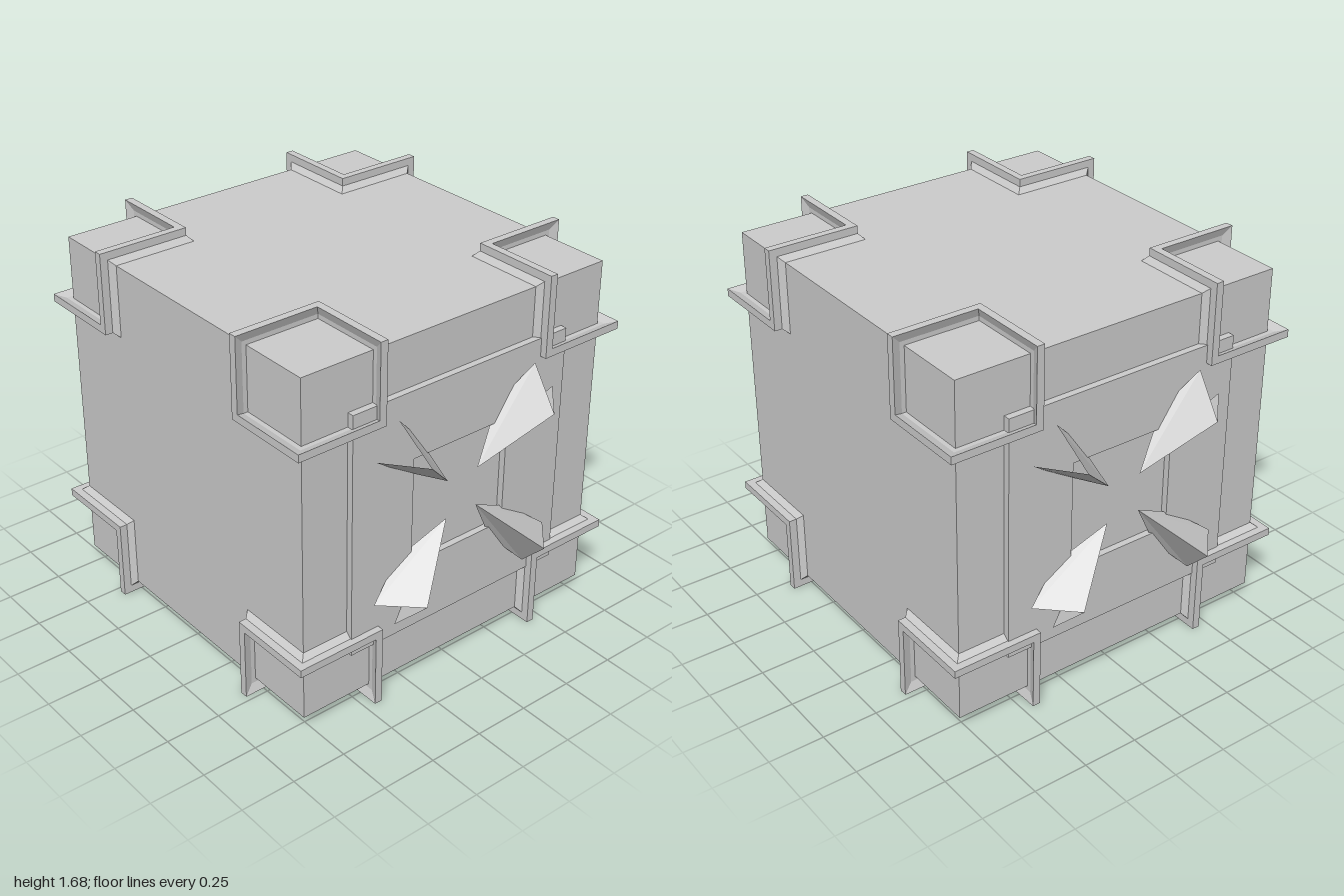
import * as THREE from 'three';

const material = new THREE.MeshStandardMaterial({ color: 0xcccccc, flatShading: true });
const thinMaterial = new THREE.MeshStandardMaterial({ color: 0xcccccc, flatShading: true, side: THREE.DoubleSide });
const HALF = [0.78, 0.78, 0.785]; // half size of the cube body

// Faceted geometry, mirrored by signs; winding flips for odd mirrors
function facets(points, triangles, signs) {
  const flip = signs[0] * signs[1] * signs[2] < 0;
  const data = [];
  for (const [a, b, c] of triangles) {
    for (const i of flip ? [a, c, b] : [a, b, c]) {
      data.push(...points[i].map((v, k) => v * signs[k]));
    }
  }
  const geometry = new THREE.BufferGeometry();
  geometry.setAttribute('position', new THREE.Float32BufferAttribute(data, 3));
  geometry.computeVertexNormals();
  return geometry;
}

// Flared rim running round one corner of the cube as a six-sided loop
function bracketGeometry(signs) {
  // [distance from the cube centre, height above the face]
  const profile = [[0.398, 0], [0.42, 0.025], [0.42, 0.06], [0.455, 0.06], [0.44, 0.02], [0.44, -0.01]];
  const shift = [0, 0.055, 0.02];
  // 1 = at the outer surface on that axis, 0 = at the inner distance
  const path = [[0, 0, 1], [1, 0, 1], [1, 0, 0], [1, 1, 0], [0, 1, 0], [0, 1, 1]];
  const points = [];
  const triangles = [];
  const n = profile.length;
  path.forEach((step, i) => {
    const next = (i + 1) % path.length;
    profile.forEach(([d, h], j) => {
      points.push(step.map((out, k) => (out ? HALF[k] + h : d + shift[k])));
      const k = (j + 1) % n;
      const a = i * n + j, b = next * n + j, c = next * n + k, e = i * n + k;
      triangles.push([a, b, c], [a, c, e]);
    });
  });
  return facets(points, triangles, signs);
}

// Folded spike: two wings meeting at a raised ridge, open at the outer end
function spikeGeometry(signs) {
  const points = [
    [0.08, 0.088, 0.83],  // inner tip
    [0.325, 0.323, 1.0],  // ridge peak
    [0.36, 0.478, 0.845], // upper wing tip
    [0.21, 0.323, 0.79],  // upper wing side
    [0.47, 0.333, 0.845], // lower wing tip
    [0.31, 0.21, 0.79],   // lower wing side
  ];
  return facets(points, [[0, 1, 2], [0, 2, 3], [0, 4, 1], [0, 5, 4]], signs);
}

// Square panel with a square window
function panelGeometry() {
  const square = (Type, x, y) => new Type([
    new THREE.Vector2(-x, -y), new THREE.Vector2(x, -y), new THREE.Vector2(x, y), new THREE.Vector2(-x, y),
  ]);
  const shape = square(THREE.Shape, 0.56, 0.557);
  shape.holes.push(square(THREE.Path, 0.25, 0.25));
  return new THREE.ExtrudeGeometry(shape, { depth: 0.03, bevelEnabled: false });
}

export function createModel() {
  const model = new THREE.Group();
  model.name = 'spikedCrate';
  const add = (name, geometry, mat = material) => {
    const mesh = new THREE.Mesh(geometry, mat);
    mesh.name = name;
    mesh.position.y = 0.84;
    model.add(mesh);
    return mesh;
  };

  add('body', new THREE.BoxGeometry(...HALF.map((v) => v * 2)));

  for (const sz of [1, -1]) {
    const side = sz > 0 ? 'front' : 'back';

    const panel = add(side + 'Panel', panelGeometry());
    panel.position.z = sz * HALF[2];
    if (sz < 0) panel.rotation.y = Math.PI;

    for (const sy of [1, -1]) {
      for (const sx of [1, -1]) {
        const place = side + (sy > 0 ? 'Top' : 'Bottom') + (sx > 0 ? 'Left' : 'Right');
        add(place + 'CornerBracket', bracketGeometry([sx, sy, sz]));
        add(place + 'Spike', spikeGeometry([sx, sy, sz]), thinMaterial);
      }
    }
  }
  return model;
}
